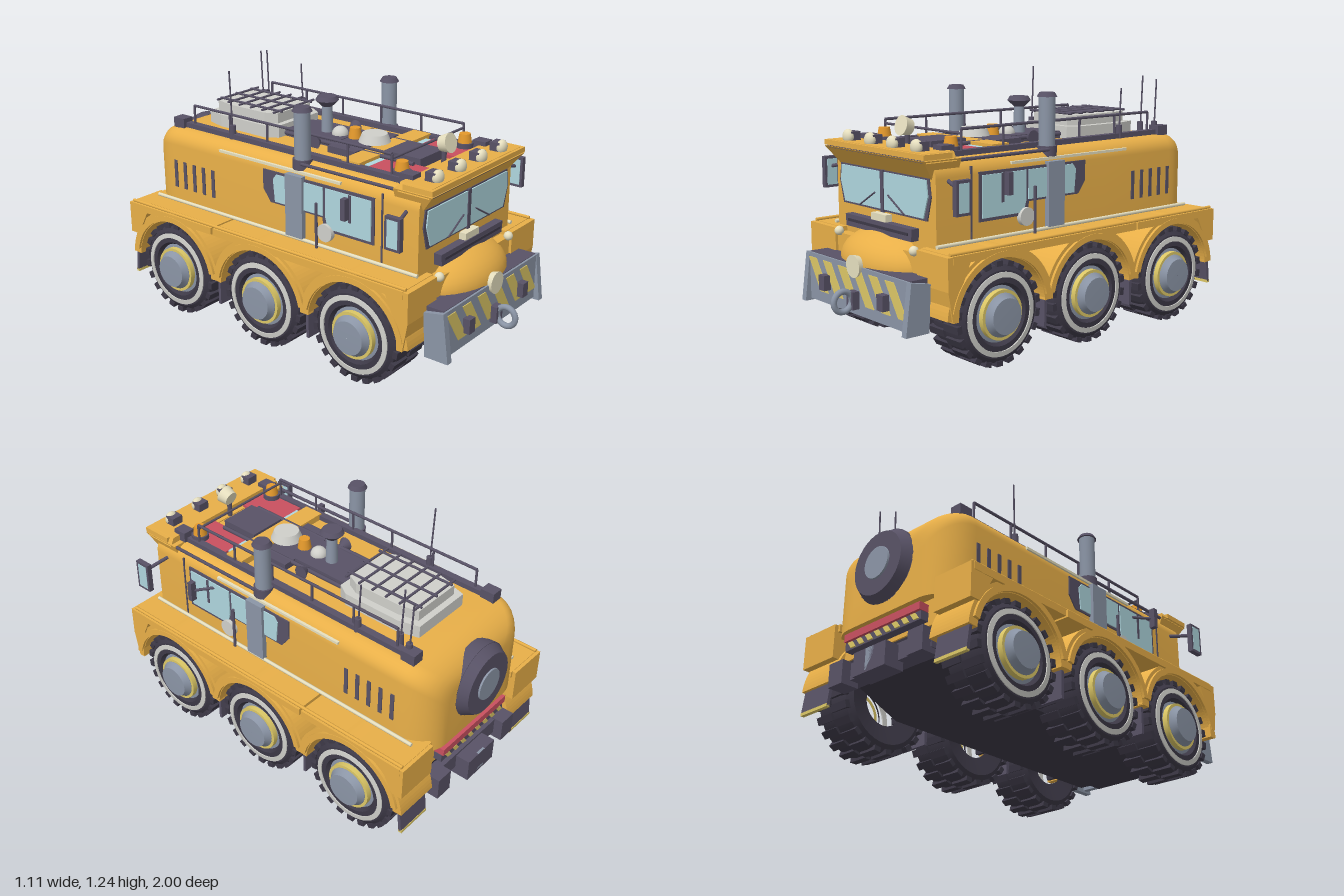
import * as THREE from 'three';
import { mergeGeometries, toCreasedNormals } from 'three/addons/utils/BufferGeometryUtils.js';

const mat = (color, side = THREE.FrontSide) => new THREE.MeshStandardMaterial({ color, side });
const yellow = mat(0xe8af48), dark = mat(0x585266), black = mat(0x3d3947), steel = mat(0x8b95a6), glass = mat(0xafd6de),
  red = mat(0xc9505f), cream = mat(0xe6dfbf), white = mat(0xcfcfca), orange = mat(0xe59a2c), stripe = mat(0xdcc766);

export function createModel() {
  const root = new THREE.Group();
  root.name = 'expeditionTruck';
  const both = fn => [-1, 1].forEach(fn);
  const add = (name, geo, m, p = [0, 0, 0], parent = root) => {
    const mesh = new THREE.Mesh(geo, m);
    mesh.name = name;
    mesh.position.set(...p);
    parent.add(mesh);
    return mesh;
  };
  const box = (name, m, size, p) => add(name, new THREE.BoxGeometry(...size), m, p);
  const cyl = (name, m, rTop, rBottom, h, p, n = 24) => add(name, new THREE.CylinderGeometry(rTop, rBottom, h, n), m, p);
  const ball = (name, m, r, p) => add(name, new THREE.SphereGeometry(r, 20, 14), m, p);
  const rod = (name, m, r, a, b) => {
    const A = new THREE.Vector3(...a), d = new THREE.Vector3(...b).sub(A);
    const mesh = add(name, new THREE.CylinderGeometry(r, r, d.length(), 8), m);
    mesh.quaternion.setFromUnitVectors(new THREE.Vector3(0, 1, 0), d.clone().normalize());
    mesh.position.copy(A).addScaledVector(d, 0.5);
    return mesh;
  };
  const poly = pts => new THREE.Shape(pts.map(p => new THREE.Vector2(...p)));
  const extrude = (shape, depth) => new THREE.ExtrudeGeometry(shape, { depth, bevelEnabled: false, curveSegments: 24 });
  // Plate facing the front, drawn in (x, y)
  const frontPlate = (name, m, pts, z, depth) => add(name, extrude(poly(pts), depth), m, [0, 0, z]);
  // Plate drawn in (z, y), spanning x0 to x1 on side s
  const sidePlate = (name, m, shape, s, x0, x1) => {
    const geo = extrude(Array.isArray(shape) ? poly(shape) : shape, x1 - x0).rotateY(-Math.PI / 2);
    return add(name, geo, m, [s > 0 ? x1 : -x0, 0, 0]);
  };

  // Hull: arched cross-sections that round off towards the rear
  const stations = [[0.71, 0], [0.3, 0], [-0.3, 0]];
  for (let i = 0; i <= 8; i++) {
    const a = i / 8 * Math.PI / 2;
    stations.push([-0.77 - 0.175 * Math.sin(a), 0.15 * (1 - Math.cos(a))]);
  }
  const pos = [], idx = [], n = 20;
  stations.forEach(([z, inset]) => {
    const w = 0.375 - inset, top = 0.905 - inset * 0.9, r = 0.075;
    pos.push(w, 0.47, z);
    for (let k = 0; k < 18; k++) {
      const right = k < 9, a = (right ? k / 8 : 1 + (k - 9) / 8) * Math.PI / 2;
      pos.push((right ? w - r : r - w) + r * Math.cos(a), top - r + r * Math.sin(a), z);
    }
    pos.push(-w, 0.47, z);
  });
  const last = (stations.length - 1) * n;
  for (let j = 0; j < stations.length - 1; j++) for (let i = 0; i < n; i++) {
    const a = j * n + i, b = j * n + (i + 1) % n;
    idx.push(a, a + n, b, b, a + n, b + n);
  }
  for (let i = 1; i < n - 1; i++) idx.push(0, i, i + 1, last, last + i + 1, last + i);
  const hull = new THREE.BufferGeometry();
  hull.setAttribute('position', new THREE.Float32BufferAttribute(pos, 3));
  hull.setIndex(idx);
  add('hull', toCreasedNormals(hull, 0.6), yellow);
  box('lowerHull', yellow, [0.58, 0.14, 1.6], [0, 0.42, -0.1]);
  sidePlate('chassis', black, [[0.8, 0.2], [0.7, 0.16], [-0.6, 0.16], [-0.88, 0.28], [-0.9, 0.4], [0.76, 0.4]], 1, -0.28, 0.28);

  // Hood and grille
  add('hood', new THREE.SphereGeometry(1, 32, 20), yellow, [0, 0.42, 0.66]).scale.set(0.31, 0.155, 0.205);
  box('hoodBase', yellow, [0.62, 0.16, 0.14], [0, 0.43, 0.69]);
  frontPlate('grille', dark, [[-0.25, 0.55], [0.25, 0.55], [0.255, 0.605], [-0.255, 0.605]], 0.7, 0.05);
  box('grilleSlot', black, [0.46, 0.012, 0.01], [0, 0.58, 0.75]);
  box('centerLamp', cream, [0.11, 0.035, 0.04], [0, 0.62, 0.725]);
  const hoodLamp = add('hoodLamp', new THREE.CylinderGeometry(0.052, 0.045, 0.03, 24), cream, [0, 0.42, 0.87]);
  hoodLamp.rotation.x = Math.PI / 2;

  // Windshield, visor and front roof
  both(s => {
    frontPlate('windshieldFrame', dark, [[0.005 * s, 0.645], [0.32 * s, 0.645], [0.348 * s, 0.75], [0.335 * s, 0.83], [0.005 * s, 0.83]], 0.7, 0.016);
    frontPlate('windshield', glass, [[0.014 * s, 0.655], [0.3 * s, 0.655], [0.332 * s, 0.75], [0.322 * s, 0.823], [0.014 * s, 0.823]], 0.712, 0.01);
    rod('wiper', dark, 0.004, [0.17 * s, 0.655, 0.727], [0.05 * s, 0.725, 0.727]);
  });
  box('windshieldPost', dark, [0.022, 0.19, 0.02], [0, 0.737, 0.715]);
  const visor = new THREE.BoxGeometry(0.76, 0.09, 0.2), vp = visor.attributes.position;
  for (let i = 0; i < vp.count; i++) if (vp.getY(i) < 0) {
    vp.setX(i, vp.getX(i) * 0.91);
    if (vp.getZ(i) > 0) vp.setZ(i, 0.03);
  }
  visor.computeVertexNormals();
  add('visor', visor, yellow, [0, 0.865, 0.675]);
  box('visorGroove', dark, [0.73, 0.012, 0.17], [0, 0.908, 0.685]);
  box('roofSlab', yellow, [0.76, 0.024, 0.15], [0, 0.926, 0.7]);
  frontPlate('roofRidge', yellow, [[-0.38, 0.9], [0.38, 0.9], [0.36, 0.94], [-0.36, 0.94]], 0.6, 0.16);
  [-0.26, -0.085, 0.085, 0.26].forEach(x => {
    box('roofLampHousing', dark, [0.06, 0.04, 0.05], [x, 0.96, 0.7]);
    const lamp = ball('roofLamp', cream, 0.034, [x, 0.957, 0.722]);
    lamp.scale.z = 0.7;
  });

  // Front plow with hazard stripes, brackets and tow ring
  box('plowFace', steel, [0.78, 0.22, 0.03], [0, 0.31, 0.855]);
  box('plowTop', dark, [0.78, 0.025, 0.1], [0, 0.41, 0.81]);
  box('plowBeam', black, [0.56, 0.1, 0.12], [0, 0.24, 0.79]);
  for (let i = 0; i < 6; i++) {
    const x = -0.385 + i * 0.122;
    frontPlate('hazardStripe', stripe, [[x + 0.095, 0.25], [x + 0.16, 0.25], [x + 0.065, 0.4], [x, 0.4]], 0.868, 0.006);
  }
  both(s => {
    sidePlate('plowEnd', steel, [[0.87, 0.42], [0.9, 0.19], [0.78, 0.19], [0.77, 0.4]], s, 0.38, 0.412);
    box('plowBracket', dark, [0.045, 0.07, 0.04], [s * 0.23, 0.305, 0.885]);
  });
  add('towRing', new THREE.TorusGeometry(0.046, 0.014, 10, 24), steel, [0, 0.27, 0.94]).rotation.y = Math.PI / 2;
  box('towMount', dark, [0.05, 0.08, 0.04], [0, 0.27, 0.885]);

  // Wheels: tyre with two staggered rows of lugs, pale ring, hub
  const lathe = pts => toCreasedNormals(new THREE.LatheGeometry(pts.map(p => new THREE.Vector2(...p)), 40), 0.5);
  const tyre = lathe([[0.1, 0.02], [0.19, 0], [0.217, 0.02], [0.224, 0.05], [0.224, 0.17], [0.217, 0.2], [0.195, 0.216], [0.14, 0.22], [0.12, 0.19], [0.1, 0.19]]);
  const lugs = mergeGeometries(Array.from({ length: 44 }, (_, i) =>
    new THREE.BoxGeometry(0.024, 0.1, 0.034).translate(0.223, i % 2 ? 0.055 : 0.16, 0).rotateY(i / 44 * Math.PI * 2)));
  const paleRing = lathe([[0.164, 0.216], [0.187, 0.214], [0.187, 0.221], [0.164, 0.224], [0.164, 0.216]]);
  const trimRing = lathe([[0.096, 0.2], [0.112, 0.2], [0.112, 0.228], [0.096, 0.228]]);
  const hub = lathe([[0.13, 0.18], [0.13, 0.2], [0.098, 0.205], [0.098, 0.23], [0.083, 0.25], [0.08, 0.26], [0.001, 0.262]]);
  const wheelZ = [0.47, -0.078, -0.645];
  both(s => wheelZ.forEach(z => {
    const wheel = new THREE.Group();
    wheel.name = 'wheel';
    wheel.position.set(s * 0.295, 0.235, z);
    wheel.rotation.z = -s * Math.PI / 2;
    root.add(wheel);
    [['tyre', tyre, black], ['treadLugs', lugs, black], ['paleRing', paleRing, white], ['hubTrim', trimRing, stripe], ['hub', hub, steel]]
      .forEach(([name, g, m]) => add(name, g, m, [0, 0, 0], wheel));
  }));
  cyl('spareTyre', dark, 0.15, 0.178, 0.05, [0, 0.7, -0.965], 32).rotation.x = -Math.PI / 2;
  cyl('spareShoulder', dark, 0.178, 0.178, 0.06, [0, 0.7, -0.915], 32).rotation.x = -Math.PI / 2;
  cyl('spareHub', steel, 0.075, 0.08, 0.02, [0, 0.7, -0.988], 32).rotation.x = -Math.PI / 2;
  wheelZ.forEach(z => rod('axle', black, 0.035, [-0.3, 0.235, z], [0.3, 0.235, z]));

  // Fenders: arch bands, outer lip, shelf, end blocks and mudflaps
  const arch = (z, R, r, a) => {
    const shape = new THREE.Shape();
    shape.absarc(z, 0.235, R, a, Math.PI - a, false);
    shape.absarc(z, 0.235, r, Math.PI - a, a, true);
    return shape;
  };
  both(s => {
    wheelZ.forEach(z => {
      sidePlate('fenderArch', yellow, arch(z, 0.3, 0.252, 0.08), s, 0.3, 0.522);
      sidePlate('fenderLip', yellow, arch(z, 0.283, 0.255, 0.2), s, 0.515, 0.535);
      box('fenderShelf', yellow, [0.225, 0.035, 0.555], [s * 0.42, 0.515, z - 0.005]);
    });
    sidePlate('frontFender', yellow, [[0.77, 0.53], [0.77, 0.385], [0.745, 0.25], [0.715, 0.25], [0.71, 0.37], [0.65, 0.5], [0.65, 0.53]], s, 0.315, 0.53);
    sidePlate('rearFender', yellow, [[-0.945, 0.53], [-0.945, 0.37], [-0.89, 0.37], [-0.82, 0.5], [-0.82, 0.53]], s, 0.32, 0.53);
    box('mudflap', dark, [0.18, 0.2, 0.015], [s * 0.425, 0.25, -0.925]).rotation.x = 0.12;
    box('mudflapTrim', stripe, [0.18, 0.014, 0.018], [s * 0.425, 0.15, -0.937]);
    [0.196, -0.362].forEach(z => box('splashPanel', dark, [0.16, 0.13, 0.015], [s * 0.42, 0.19, z]));
    rod('sidePipe', cream, 0.009, [s * 0.39, 0.545, 0.72], [s * 0.39, 0.545, -0.88]);
    rod('fenderRail', yellow, 0.008, [s * 0.515, 0.538, 0.75], [s * 0.515, 0.538, -0.93]);
    ball('cornerLamp', cream, 0.022, [s * 0.29, 0.52, 0.765]);

    // Side windows, door details, vents and trim
    sidePlate('windowFrame', dark, [[0.48, 0.62], [0.2, 0.62], [0.19, 0.68], [-0.12, 0.68], [-0.165, 0.74], [-0.165, 0.835], [0.48, 0.84]], s, 0.36, 0.381);
    sidePlate('frontSideWindow', glass, [[0.465, 0.635], [0.225, 0.635], [0.21, 0.69], [0.21, 0.825], [0.465, 0.825]], s, 0.37, 0.386);
    sidePlate('rearSideWindow', glass, [[0.195, 0.69], [-0.09, 0.69], [-0.1, 0.8], [-0.08, 0.825], [0.195, 0.825]], s, 0.37, 0.386);
    box('windowPost', dark, [0.012, 0.13, 0.014], [s * 0.383, 0.76, 0.35]);
    box('doorSeam', dark, [0.008, 0.34, 0.008], [s * 0.375, 0.7, 0.52]);
    rod('grabBar', dark, 0.007, [s * 0.4, 0.52, 0.17], [s * 0.4, 0.75, 0.17]);
    cyl('sideLamp', white, 0.042, 0.042, 0.03, [s * 0.385, 0.615, 0.215]).rotation.z = Math.PI / 2;
    for (let i = 0; i < 5; i++) box('sideVent', dark, [0.014, 0.14, 0.02], [s * 0.372, 0.68, -0.5 - i * 0.064]);
    box('sideTrim', cream, [0.014, 0.012, 0.74], [s * 0.372, 0.862, -0.08]);

    // Exhaust stack with brace
    box('exhaustBrace', steel, [0.03, 0.3, 0.1], [s * 0.385, 0.7, 0.035]);
    cyl('exhaustPipe', steel, 0.038, 0.038, 0.31, [s * 0.33, 0.99, 0.035]);
    cyl('exhaustCap', dark, 0.035, 0.047, 0.02, [s * 0.33, 1.148, 0.035]);
    cyl('exhaustCollar', dark, 0.046, 0.046, 0.05, [s * 0.33, 0.89, 0.035]);

    // Mirrors on arms
    rod('mirrorArm', dark, 0.009, [s * 0.36, 0.82, 0.64], [s * 0.5, 0.79, 0.67]);
    box('mirror', dark, [0.025, 0.15, 0.08], [s * 0.5, 0.765, 0.67]);
    box('mirrorGlass', glass, [0.028, 0.125, 0.055], [s * 0.5, 0.765, 0.67]);
    rod('rearMirrorArm', dark, 0.007, [s * 0.37, 0.8, 0.3], [s * 0.46, 0.79, 0.38]);
    box('rearMirror', dark, [0.03, 0.1, 0.025], [s * 0.46, 0.79, 0.38]);

    // Roof beam, rail and end boxes
    box('roofBeam', dark, [0.035, 0.035, 1.4], [s * 0.285, 0.912, -0.08]);
    box('beamEnd', dark, [0.06, 0.05, 0.07], [s * 0.29, 0.925, -0.78]);
    box('beamFront', dark, [0.06, 0.05, 0.07], [s * 0.29, 0.935, 0.6]);
    rod('roofRail', dark, 0.007, [s * 0.285, 1.02, 0.5], [s * 0.285, 1.02, -0.7]);
    for (let i = 0; i < 6; i++) rod('railPost', dark, 0.006, [s * 0.285, 0.91, 0.5 - i * 0.24], [s * 0.285, 1.02, 0.5 - i * 0.24]);
    rod('gutterRail', dark, 0.008, [s * 0.365, 0.9, 0.65], [s * 0.365, 0.9, 0.05]);

    // Paired roof details
    frontPlate('redRoofPanel', red, [[s * 0.1, 0.9], [s * 0.275, 0.9], [s * 0.275, 0.922], [s * 0.1, 0.922]], 0.35, 0.24);
    box('skylight', glass, [0.14, 0.015, 0.03], [s * 0.17, 0.915, 0.335]);
    cyl('beaconBase', dark, 0.042, 0.042, 0.03, [s * 0.25, 0.93, 0.53]);
    cyl('beacon', orange, 0.026, 0.034, 0.045, [s * 0.25, 0.965, 0.53]);
    rod('roofPipe', dark, 0.01, [s * 0.12, 0.93, 0.5], [s * 0.12, 0.93, -0.25]);
    add('roofHorn', new THREE.ConeGeometry(0.035, 0.06, 16), dark, [s * 0.13, 0.93, -0.04]).rotation.z = s * Math.PI / 2;
  });

  // Roof centre: duct, mushroom vent, dish, searchlight
  box('roofDuct', dark, [0.2, 0.04, 0.34], [0, 0.92, -0.12]);
  box('frontDuct', dark, [0.19, 0.05, 0.2], [0, 0.925, 0.42]);
  box('roofCrossbeam', yellow, [0.56, 0.035, 0.1], [0, 0.92, 0.27]);
  box('equipmentDeck', dark, [0.34, 0.035, 0.16], [0, 0.92, 0.13]);
  cyl('ventPipe', steel, 0.024, 0.03, 0.17, [0, 1.0, -0.09]);
  cyl('ventCap', dark, 0.045, 0.057, 0.02, [0, 1.105, -0.09]);
  cyl('ventNeck', dark, 0.057, 0.026, 0.03, [0, 1.08, -0.09]);
  cyl('roofDish', white, 0.06, 0.076, 0.04, [0, 0.965, 0.195], 32);
  cyl('centerBeacon', orange, 0.025, 0.033, 0.05, [0, 0.965, 0.08]);
  ball('smallDome', white, 0.04, [0, 0.94, -0.01]);
  cyl('searchlight', cream, 0.046, 0.036, 0.05, [0, 1.015, 0.59]).rotation.x = Math.PI / 2 - 0.25;
  rod('searchlightPost', dark, 0.012, [0, 0.91, 0.58], [0, 0.98, 0.58]);
  rod('frontRailBar', dark, 0.006, [-0.285, 1.0, 0.5], [0.285, 1.0, 0.5]);

  // Cargo pod with rack
  const podOutline = (w, z0, z1) => [[-w * 0.8, z0], [w * 0.8, z0], [w, z0 + 0.06], [w, z1 - 0.1], [w * 0.85, z1], [-w * 0.85, z1], [-w, z1 - 0.1], [-w, z0 + 0.06]];
  add('cargoPodBase', extrude(poly(podOutline(0.185, 0.27, 0.72)), 0.06).rotateX(-Math.PI / 2), white, [0, 0.905, 0]);
  add('cargoPodTop', extrude(poly(podOutline(0.15, 0.3, 0.69)), 0.05).rotateX(-Math.PI / 2), white, [0, 0.965, 0]);
  [-0.11, 0, 0.11].forEach(x => rod('rackRail', dark, 0.006, [x, 1.025, -0.28], [x, 1.025, -0.69]));
  for (let i = 0; i < 6; i++) rod('rackBar', dark, 0.006, [-0.15, 1.025, -0.3 - i * 0.075], [0.15, 1.025, -0.3 - i * 0.075]);

  // Antennas: x, z, tip height
  [[-0.29, -0.45, 1.235], [0.29, -0.5, 1.15], [0.25, -0.7, 1.2], [0.28, -0.77, 1.18]].forEach(([x, z, top]) => {
    rod('antenna', dark, 0.004, [x, 0.89, z + 0.012], [x, top, z]);
    cyl('antennaBase', dark, 0.015, 0.018, 0.08, [x, 0.93, z + 0.012], 12);
  });

  // Rear bumper, tail light and hitch
  box('tailLight', red, [0.48, 0.035, 0.05], [0, 0.43, -0.925]);
  box('rearPlate', dark, [0.48, 0.04, 0.04], [0, 0.39, -0.92]);
  for (let i = 0; i < 8; i++) {
    const x = -0.23 + i * 0.057;
    frontPlate('rearHazardStripe', stripe, [[x, 0.375], [x + 0.028, 0.375], [x + 0.05, 0.405], [x + 0.022, 0.405]], -0.947, 0.01);
  }
  box('rearBeam', dark, [0.6, 0.08, 0.08], [0, 0.27, -0.89]);
  box('hitchBox', dark, [0.2, 0.11, 0.1], [0, 0.245, -0.95]);
  box('hitchLatch', steel, [0.05, 0.1, 0.012], [0, 0.25, -0.994]);
  both(s => box('beamStep', dark, [0.09, 0.11, 0.09], [s * 0.25, 0.26, -0.93]));
  return root;
}
